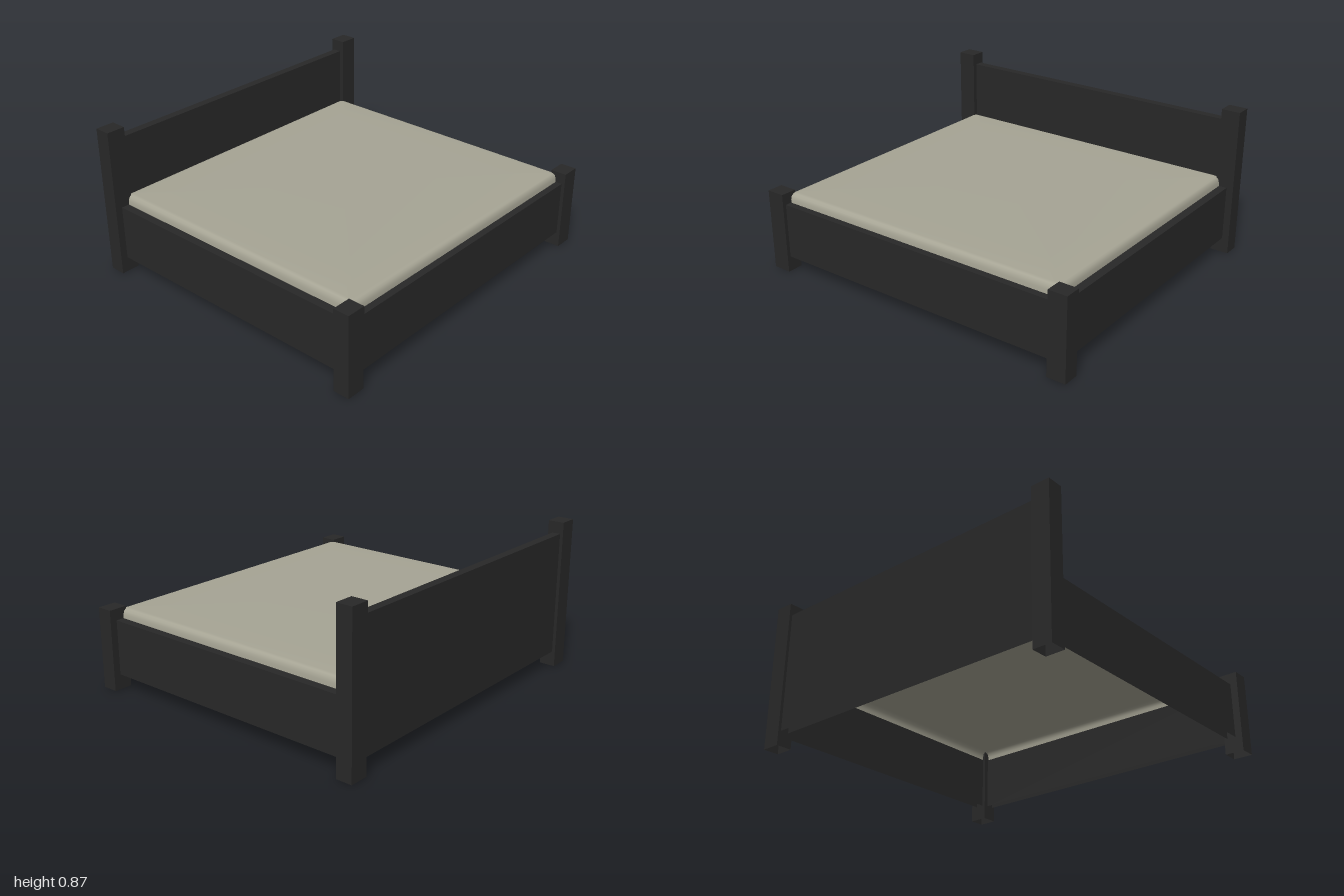
import * as THREE from 'three';

const charcoal = new THREE.MeshStandardMaterial({ color: 0x282828, side: THREE.DoubleSide });
charcoal.name = 'charcoal wood';
const linen = new THREE.MeshStandardMaterial({ color: 0xa6a494, side: THREE.DoubleSide });
linen.name = 'linen';

// Hollow timber, open underneath, given by its minimum and maximum corners
function timber(name, [x0, y0, z0], [x1, y1, z1]) {
  const geometry = new THREE.BoxGeometry(x1 - x0, y1 - y0, z1 - z0);
  const index = Array.from(geometry.index.array);
  index.splice(18, 6); // the two triangles of the underside
  geometry.setIndex(index);
  geometry.clearGroups();
  const mesh = new THREE.Mesh(geometry, charcoal);
  mesh.position.set((x0 + x1) / 2, (y0 + y1) / 2, (z0 + z1) / 2);
  mesh.name = name;
  return mesh;
}

// Soft-edged mattress cover, open underneath: rounded rectangles stacked and closed by a fan
function mattressGeometry(halfX, halfZ) {
  const profile = [[0, 0.408], [0.002, 0.43], [0.008, 0.449], [0.02, 0.46], [0.036, 0.465], [0.2, 0.4665]];
  const radius = 0.02, steps = 5, perRing = 4 * (steps + 1);
  const positions = [], indices = [];
  for (const [inset, y] of profile) {
    for (let corner = 0; corner < 4; corner++) {
      const sx = corner === 0 || corner === 3 ? 1 : -1;
      const sz = corner < 2 ? 1 : -1;
      for (let i = 0; i <= steps; i++) {
        const a = (corner + i / steps) * Math.PI / 2;
        positions.push(
          sx * (halfX - inset - radius) + radius * Math.cos(a), y,
          sz * (halfZ - inset - radius) + radius * Math.sin(a));
      }
    }
  }
  const centre = positions.length / 3;
  positions.push(0, 0.467, 0);
  for (let r = 0; r < profile.length; r++) {
    for (let i = 0; i < perRing; i++) {
      const a = r * perRing + i, b = r * perRing + (i + 1) % perRing;
      if (r === profile.length - 1) indices.push(a, centre, b);
      else indices.push(a, a + perRing, b, b, a + perRing, b + perRing);
    }
  }
  const geometry = new THREE.BufferGeometry();
  geometry.setAttribute('position', new THREE.Float32BufferAttribute(positions, 3));
  geometry.setIndex(indices);
  geometry.computeVertexNormals();
  return geometry;
}

export function createModel() {
  const bed = new THREE.Group();
  bed.name = 'bed';

  // Corner posts and side rails, mirrored left and right
  for (const [side, s] of [['left', 1], ['right', -1]]) {
    const span = (a, b) => (s > 0 ? [a, b] : [-b, -a]);
    const [p0, p1] = span(0.89, 1);
    bed.add(timber(side + 'HeadPost', [p0, 0, -0.896], [p1, 0.872, -0.802]));
    bed.add(timber(side + 'FootPost', [p0, 0, 0.802], [p1, 0.474, 0.896]));
    const [r0, r1] = span(0.909, 0.959);
    bed.add(timber(side + 'Rail', [r0, 0.088, -0.802], [r1, 0.408, 0.802]));
  }

  // End boards between the posts
  bed.add(timber('headboard', [-0.89, 0.088, -0.878], [0.89, 0.804, -0.829]));
  bed.add(timber('footboard', [-0.89, 0.088, 0.829], [0.89, 0.408, 0.876]));

  const mattress = new THREE.Mesh(mattressGeometry(0.911, 0.836), linen);
  mattress.name = 'mattress';
  bed.add(mattress);
  return bed;
}
